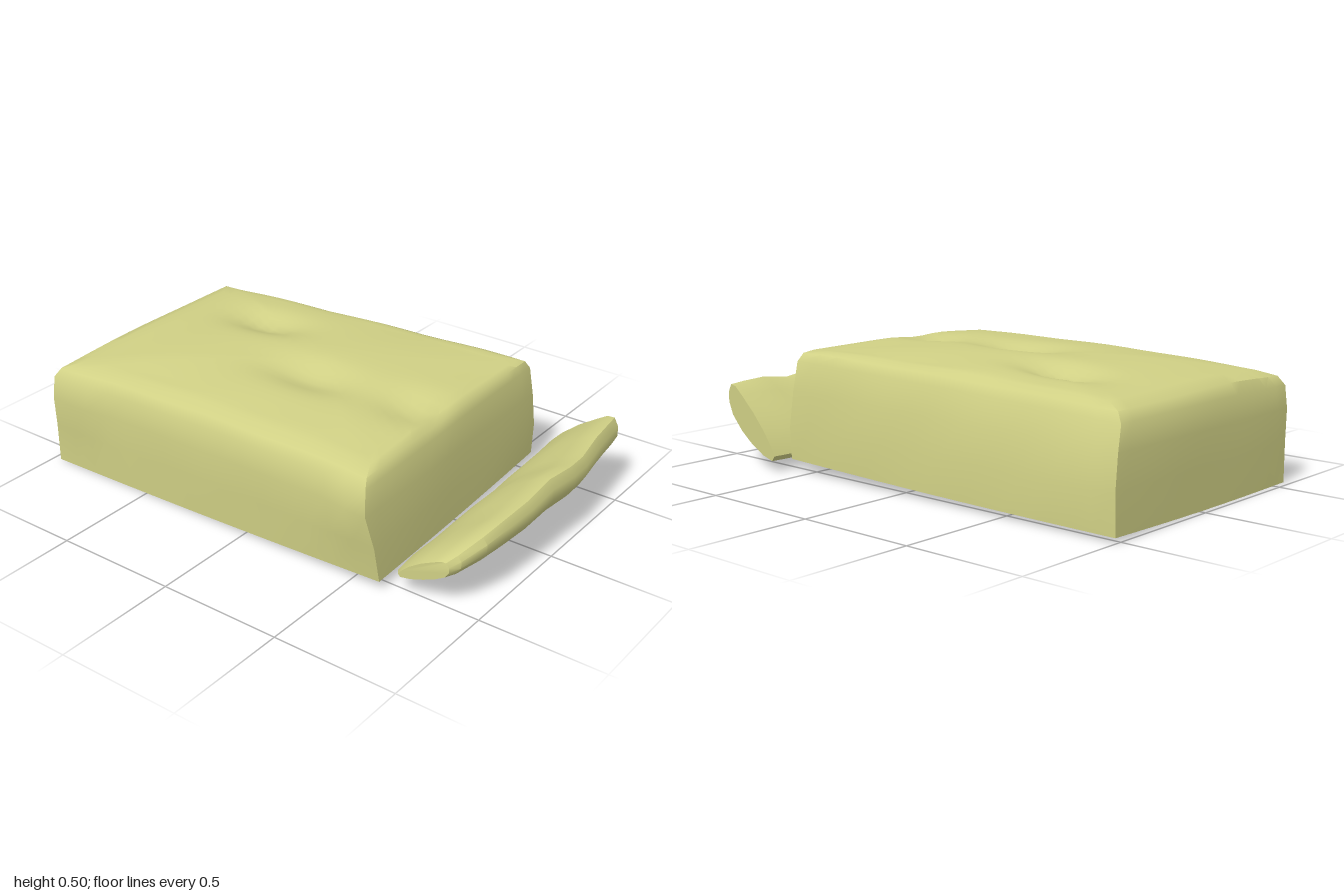
import * as THREE from 'three';
import { toCreasedNormals } from 'three/addons/utils/BufferGeometryUtils.js';

const lerp = (a, b, t) => a + (b - a) * t;
const bump = (v, centre, width) => Math.exp(-(((v - centre) / width) ** 2));

// Smooth repeatable unevenness for the crumpled surface
const crumple = (x, y, z) =>
  0.5 * Math.sin(9 * x + 4 * z + 3 * y) + 0.5 * Math.sin(13 * z - 7 * x + 11 * y + 1.3);

// Joins closed rings of equal length; optional caps close the two ends
function loft(rings, caps, crease) {
  const n = rings[0].length;
  const index = [];
  for (let r = 0; r < rings.length - 1; r++) {
    for (let i = 0; i < n; i++) {
      const a = r * n + i, b = r * n + (i + 1) % n;
      index.push(a, b, b + n, a, b + n, a + n);
    }
  }
  if (caps) {
    const last = (rings.length - 1) * n;
    for (let i = 1; i < n - 1; i++) {
      index.push(0, i + 1, i, last, last + i, last + i + 1);
    }
  }
  const geometry = new THREE.BufferGeometry();
  geometry.setAttribute('position', new THREE.Float32BufferAttribute(rings.flat(2), 3));
  geometry.setIndex(index);
  return toCreasedNormals(geometry, crease);
}

// Four corners turned into a ring with extra points along each side
function cornerRing(corners, steps) {
  const ring = [];
  corners.forEach((a, k) => {
    const b = corners[(k + 1) % 4];
    for (let i = 0; i < steps; i++) ring.push(a.map((v, j) => lerp(v, b[j], i / steps)));
  });
  return ring;
}

// Hollows pressed into the top: x, z, half width, half length, depth
const DENTS = [
  [0.18, -0.48, 0.09, 0.17, 0.05],
  [-0.12, -0.02, 0.1, 0.2, 0.045],
  [-0.1, 0.43, 0.1, 0.14, 0.04],
];
const dent = (x, z) => DENTS.reduce((sum, [cx, cz, w, l, d]) =>
  sum + d * bump(x, cx, w) * bump(z, cz, l), 0);

function bodyGeometry() {
  // Corner order: front right, front left, back left, back right
  const levels = [
    [[-0.565, 0.04, 0.625], [0.555, 0.05, 0.585], [0.53, 0.02, -1.0], [-0.58, 0.0, -0.97]],
    [[-0.58, 0.18, 0.615], [0.555, 0.18, 0.587], [0.53, 0.17, -0.997], [-0.58, 0.16, -0.97]],
    [[-0.59, 0.32, 0.6], [0.54, 0.32, 0.58], [0.505, 0.3, -0.99], [-0.58, 0.29, -0.97]],
    [[-0.575, 0.41, 0.58], [0.525, 0.44, 0.57], [0.47, 0.39, -0.975], [-0.57, 0.38, -0.963]],
    [[-0.55, 0.443, 0.563], [0.505, 0.472, 0.557], [0.45, 0.425, -0.945], [-0.55, 0.418, -0.94]],
    [[-0.5, 0.463, 0.535], [0.47, 0.483, 0.535], [0.415, 0.447, -0.88], [-0.5, 0.44, -0.88]],
  ];
  const steps = 16;
  // The lower rim sags and the upper edges bow upwards between the corners
  const bow = [-0.006, 0, 0, 0.005, 0.01, 0.012];
  const base = levels.map((corners, k) => cornerRing(corners, steps).map(([x, y, z], i) =>
    [x, y + bow[k] * Math.sin(Math.PI * (i % steps) / steps), z]));
  const rings = base.map((ring, k) => ring.map(([x, y, z]) => {
    const c = k === 0 ? 0 : 0.003 * crumple(x, y, z);
    // Swellings at both ends of the model's right wall
    const swell = x < -0.5
      ? bump(y, 0.32, 0.1) * (0.028 * bump(z, 0.56, 0.12) + 0.024 * bump(z, -0.83, 0.12)) : 0;
    return [x + c - swell, y + (k > 3 ? c - dent(x, z) * 0.5 : 0), z + (k < 5 ? c * 0.6 : 0)];
  }));
  // Top surface closes inwards in shrinking rings
  const edge = base[base.length - 1];
  const inner = 14;
  for (let k = 1; k <= inner; k++) {
    const t = k / inner;
    rings.push(edge.map(([ex, ey, ez]) => {
      const x = lerp(ex, 0.03, t), z = lerp(ez, -0.05, t);
      const rise = lerp(ey, 0.5, 1 - (1 - t) ** 2);
      return [x, rise - dent(x, z) + 0.004 * crumple(x, 0, z) * (1 - t), z];
    }));
  }
  return loft(rings, false, 0.7);
}

function flapGeometry() {
  // Cross-section as fractions: z outwards, y upwards
  const profile = [
    [0.0, 0.08], [0.05, 0.0], [0.25, 0.05], [0.5, 0.18], [0.72, 0.33], [0.92, 0.53],
    [1.0, 0.72], [1.0, 0.88], [0.94, 1.0], [0.84, 0.98], [0.68, 0.85], [0.45, 0.66],
    [0.22, 0.42], [0.07, 0.21],
  ];
  // Stations along x: x, inner z, outer z, bottom y, top y
  const stations = [
    [-0.53, 0.68, 0.89, 0.07, 0.2], [-0.5, 0.66, 0.92, 0.06, 0.225],
    [-0.4, 0.65, 0.96, 0.055, 0.265], [-0.28, 0.65, 0.975, 0.05, 0.28],
    [-0.14, 0.64, 0.985, 0.04, 0.29], [0.0, 0.635, 0.99, 0.035, 0.32],
    [0.14, 0.635, 1.0, 0.035, 0.305], [0.25, 0.63, 0.99, 0.035, 0.295],
    [0.38, 0.63, 0.975, 0.04, 0.32], [0.5, 0.625, 0.96, 0.04, 0.315],
    [0.57, 0.62, 0.95, 0.04, 0.31],
  ];
  const rings = stations.map(([x, z0, z1, y0, y1], k) => profile.map(([u, v]) => {
    const y = lerp(y0, y1, v), z = lerp(z0, z1, u);
    // The last end slants out towards the hinge side
    const slant = k === stations.length - 1 ? 0.045 * (1 - u) : 0;
    return [x + slant, y + 0.004 * crumple(x * 2, y, z), z];
  }));
  // Rings run the other way round so that faces point outwards
  return loft(rings.map((ring) => ring.slice().reverse()), true, 0.7);
}

export function createModel() {
  const group = new THREE.Group();
  group.name = 'crumpledBox';
  const shell = new THREE.MeshStandardMaterial({ color: 0xd0d085, side: THREE.DoubleSide });
  shell.name = 'paleOlive';

  // Hollow block, open underneath
  const body = new THREE.Mesh(bodyGeometry(), shell);
  body.name = 'body';

  // Thick flap leaning forward along the front edge
  const flap = new THREE.Mesh(flapGeometry(), shell);
  flap.name = 'frontFlap';

  group.add(body, flap);
  return group;
}
